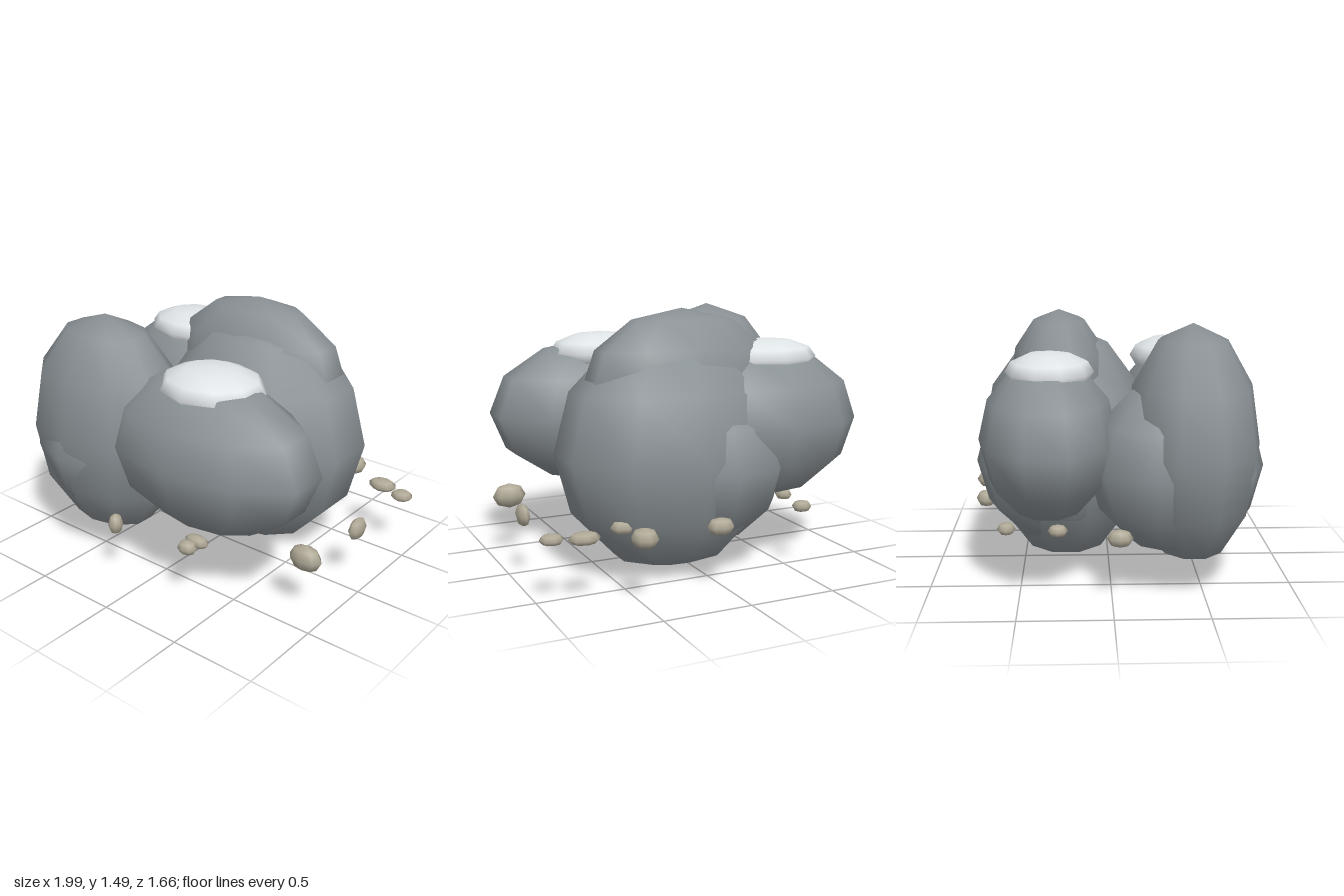
import * as THREE from 'three';

// Ellipsoid stone: few sides, smooth normals, corners on the z axis
function stone(name, material, [x, y, z], [rx, ry, rz], sides = 10, rows = 6) {
  const geometry = new THREE.SphereGeometry(1, sides, rows);
  geometry.rotateY(Math.PI / 2);
  geometry.scale(rx, ry, rz);
  const mesh = new THREE.Mesh(geometry, material);
  mesh.name = name;
  mesh.position.set(x, y, z);
  return mesh;
}

export function createModel() {
  const rock = new THREE.MeshStandardMaterial({ color: 0x8a9195 });
  rock.name = 'rock grey';
  const snow = new THREE.MeshStandardMaterial({ color: 0xe4e9ec });
  snow.name = 'snow white';
  const gravel = new THREE.MeshStandardMaterial({ color: 0xb0a997 });
  gravel.name = 'pebble tan';

  const group = new THREE.Group();
  group.name = 'boulderPile';

  // Large boulders and the lumps fused into them
  const boulders = [
    ['backBoulder', [0.11, 0.695, -0.25], [0.675, 0.69, 0.50]],
    ['backBoulderCrown', [0.06, 1.05, -0.285], [0.59, 0.44, 0.295]],
    ['backBoulderLump', [-0.06, 0.62, -0.29], [0.50, 0.47, 0.48]],
    ['frontRightBoulder', [-0.47, 0.80, 0.44], [0.525, 0.66, 0.375]],
    ['frontRightLump', [-0.51, 0.69, 0.35], [0.43, 0.48, 0.48]],
    ['frontLeftBoulder', [0.28, 0.835, 0.44], [0.685, 0.44, 0.38]],
    ['backRightBoulder', [-0.44, 0.83, -0.34], [0.585, 0.44, 0.38]],
  ];
  for (const [name, p, r] of boulders) group.add(stone(name, rock, p, r));

  // Snow caps on the two low boulders
  group.add(stone('frontSnowCap', snow, [0.275, 1.195, 0.405], [0.31, 0.12, 0.265]));
  group.add(stone('backSnowCap', snow, [-0.45, 1.20, -0.33], [0.31, 0.11, 0.24]));

  // Ring of pebbles: x, z, then radii
  const pebbles = [
    [0.49, -0.75, 0.075, 0.055, 0.08],
    [0.77, -0.62, 0.09, 0.035, 0.065],
    [0.93, -0.57, 0.067, 0.03, 0.06],
    [0.51, -0.52, 0.08, 0.04, 0.06],
    [0.40, -0.55, 0.05, 0.025, 0.04],
    [0.93, -0.07, 0.037, 0.065, 0.08],
    [0.88, 0.37, 0.10, 0.075, 0.06],
    [0.32, 0.68, 0.06, 0.04, 0.05],
    [0.32, 0.60, 0.08, 0.035, 0.045],
    [0.23, 0.39, 0.05, 0.05, 0.05],
    [-0.16, 0.74, 0.04, 0.065, 0.045],
    [0.04, -0.73, 0.08, 0.05, 0.06],
    [-0.57, -0.57, 0.06, 0.035, 0.05],
    [-0.62, -0.29, 0.05, 0.035, 0.055],
    [-0.76, 0.04, 0.05, 0.05, 0.07],
  ];
  pebbles.forEach(([x, z, rx, ry, rz], i) => {
    group.add(stone('pebble' + (i + 1), gravel, [x, 0.36, z], [rx, ry, rz], 8, 4));
  });

  return group;
}
